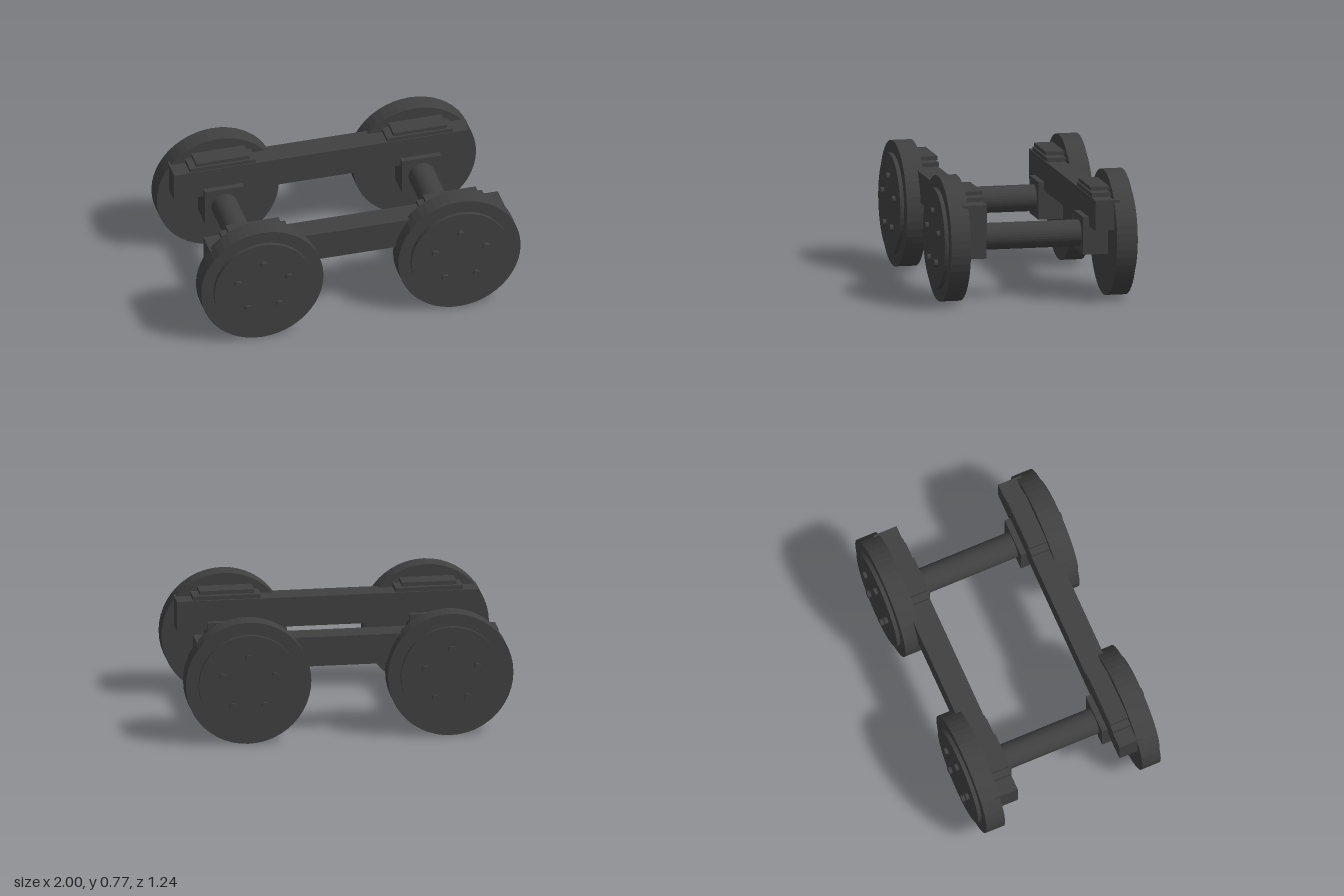
import * as THREE from 'three';

export function createModel() {
  const model = new THREE.Group();
  model.name = 'railTruck';
  const iron = new THREE.MeshStandardMaterial({ color: 0x404040, flatShading: true });
  iron.name = 'dark iron';

  const AXLE_X = 0.617, AXLE_Y = 0.384, WHEEL_R = 0.383;

  function add(parent, name, geometry, x, y, z) {
    const mesh = new THREE.Mesh(geometry, iron);
    mesh.name = name;
    mesh.position.set(x, y, z);
    parent.add(mesh);
  }
  // Box given by its limits
  function box(parent, name, x0, x1, y0, y1, z0, z1) {
    add(parent, name, new THREE.BoxGeometry(x1 - x0, y1 - y0, z1 - z0),
      (x0 + x1) / 2, (y0 + y1) / 2, (z0 + z1) / 2);
  }
  // Cylinder lying along z
  function disc(parent, name, r, x, y, z0, z1, sides) {
    const g = new THREE.CylinderGeometry(r, r, z1 - z0, sides).rotateX(Math.PI / 2);
    add(parent, name, g, x, y, (z0 + z1) / 2);
  }

  // One side: beam, axle boxes, leaf springs and wheels
  function buildSide(name) {
    const side = new THREE.Group();
    side.name = name;
    box(side, 'sideBeam', -0.922, 0.922, 0.447, 0.631, 0.335, 0.487);
    for (const x of [-AXLE_X, AXLE_X]) {
      box(side, 'axleBox', x - 0.123, x + 0.123, 0.269, 0.5, 0.299, 0.46);
      box(side, 'lowerSpringLeaf', x - 0.206, x + 0.206, 0.635, 0.66, 0.335, 0.487);
      box(side, 'upperSpringLeaf', x - 0.166, x + 0.166, 0.669, 0.692, 0.335, 0.487);

      const wheel = new THREE.Group();
      wheel.name = 'wheel';
      wheel.position.set(x, AXLE_Y, 0);
      disc(wheel, 'wheelRim', WHEEL_R, 0, 0, 0.452, 0.573, 48);
      disc(wheel, 'wheelFace', 0.306, 0, 0, 0.57, 0.597, 48);
      for (let i = 0; i < 5; i++) {
        const a = Math.PI / 2 + i * Math.PI * 2 / 5;
        disc(wheel, 'bolt', 0.022, 0.167 * Math.cos(a), 0.167 * Math.sin(a), 0.59, 0.618, 16);
      }
      side.add(wheel);
    }
    return side;
  }

  // Both sides are alike; the back one is turned around
  const front = buildSide('frontSide');
  const back = buildSide('backSide');
  back.rotation.y = Math.PI;
  model.add(front, back);

  // Axles between the axle boxes
  for (const x of [-AXLE_X, AXLE_X]) disc(model, 'axle', 0.081, x, AXLE_Y, -0.32, 0.32, 32);

  return model;
}
